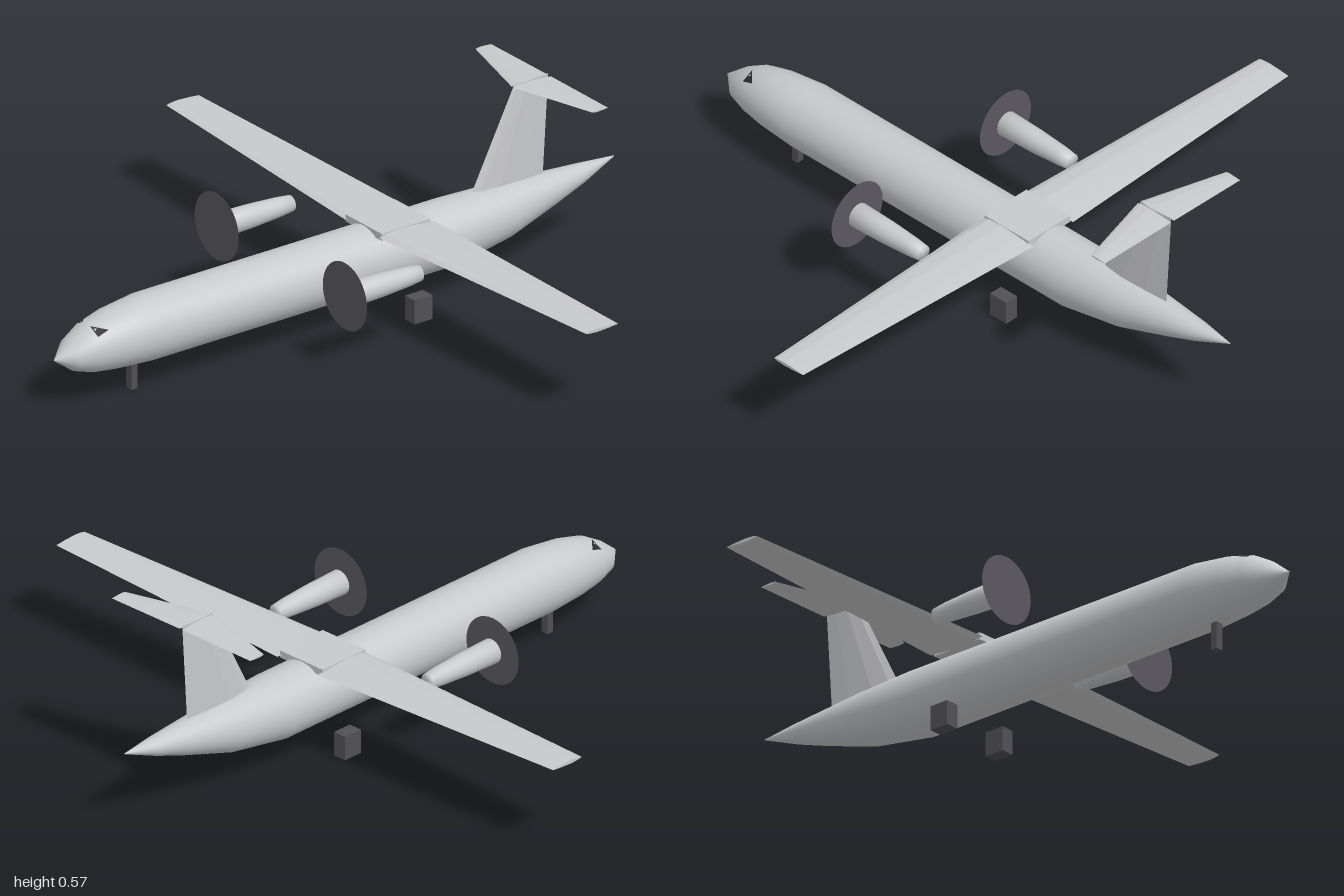
import * as THREE from 'three';

// Skin a list of equal-length rings of [x, y, z] points, with end caps, facing outwards
function loft(rings) {
  const n = rings[0].length, pos = rings.flat(), idx = [];
  for (let r = 0; r < rings.length - 1; r++) {
    for (let i = 0; i < n; i++) {
      const a = r * n + i, b = r * n + (i + 1) % n;
      idx.push([a, b, b + n], [a, b + n, a + n]);
    }
  }
  const last = (rings.length - 1) * n;
  for (let i = 1; i < n - 1; i++) idx.push([0, i + 1, i], [last, last + i, last + i + 1]);
  const v = pos.map((p) => new THREE.Vector3(...p));
  const volume = idx.reduce((s, [a, b, c]) => s + v[a].dot(v[b].clone().cross(v[c])), 0);
  if (volume < 0) idx.forEach((t) => t.reverse());
  const g = new THREE.BufferGeometry();
  g.setAttribute('position', new THREE.Float32BufferAttribute(pos.flat(), 3));
  g.setIndex(idx.flat());
  return g;
}

function faceted(rings) {
  const g = loft(rings).toNonIndexed();
  g.computeVertexNormals();
  return g;
}

// Body stations: z, half width, bottom y, top y
const STATIONS = [
  [1, 0.001, 0.159, 0.161], [0.94, 0.055, 0.115, 0.21], [0.88, 0.075, 0.096, 0.245],
  [0.8, 0.09, 0.087, 0.265], [0.68, 0.1, 0.08, 0.28], [0.14, 0.1, 0.08, 0.28],
  [-0.4, 0.1, 0.08, 0.28], [-0.6, 0.08, 0.112, 0.275], [-0.77, 0.051, 0.165, 0.267],
  [-0.88, 0.032, 0.203, 0.261], [-1, 0.001, 0.251, 0.254],
];

// Body surface x for a given y and z
function bodyX(y, z) {
  const i = STATIONS.findIndex((s) => s[0] <= z), a = STATIONS[i - 1], b = STATIONS[i];
  const t = (a[0] - z) / (a[0] - b[0]);
  const [, w, lo, hi] = a.map((value, k) => THREE.MathUtils.lerp(value, b[k], t));
  const u = (y - (lo + hi) / 2) / ((hi - lo) / 2);
  return w * Math.sqrt(Math.max(0, 1 - u * u));
}

// Aerofoil outline: chord fraction from the leading edge, thickness fraction
const FOIL = [[0, 0], [0.1, 0.3], [0.35, 0.5], [0.7, 0.3], [1, 0], [0.7, -0.3], [0.35, -0.5], [0.1, -0.3]];
const wingSection = (x, y, lead, trail, thick) =>
  FOIL.map(([c, t]) => [x, y + t * thick, lead + (trail - lead) * c]);

export function createModel() {
  const model = new THREE.Group();
  const paint = new THREE.MeshStandardMaterial({ name: 'pale grey paint', color: 0xc8c9cb });
  const disc = new THREE.MeshStandardMaterial({ name: 'propeller grey', color: 0x5a585f, side: THREE.DoubleSide });
  const gear = new THREE.MeshStandardMaterial({ name: 'gear grey', color: 0x505055 });
  const glass = new THREE.MeshStandardMaterial({ name: 'dark glass', color: 0x2c2d32, side: THREE.DoubleSide });

  const add = (name, geometry, material, x = 0, y = 0, z = 0) => {
    const mesh = new THREE.Mesh(geometry, material);
    mesh.name = name;
    mesh.position.set(x, y, z);
    model.add(mesh);
    return mesh;
  };

  // Smooth body with an upswept tail
  const body = loft(STATIONS.map(([z, w, lo, hi]) => Array.from({ length: 40 }, (_, i) => {
    const a = (i / 40) * Math.PI * 2;
    return [Math.cos(a) * w, (lo + hi) / 2 + Math.sin(a) * (hi - lo) / 2, z];
  })));
  body.computeVertexNormals();
  add('fuselage', body, paint);

  // Wing centre box on the roof
  add('wingBox', new THREE.BoxGeometry(0.17, 0.022, 0.175), paint, 0, 0.273, -0.193);

  // Upright fin, tapered towards the top
  const finSection = (y0, y1, lead, trail, thick) =>
    FOIL.map(([c, t]) => [t * thick, y0 + (y1 - y0) * c, lead + (trail - lead) * c]);
  add('fin', faceted([
    finSection(0.272, 0.255, -0.49, -0.745, 0.026),
    finSection(0.575, 0.575, -0.645, -0.765, 0.014),
  ]), paint);

  // Nose gear
  add('noseGear', new THREE.BoxGeometry(0.024, 0.09, 0.022), gear, 0, 0.045, 0.722);

  for (const [side, s] of [['left', 1], ['right', -1]]) {
    add(side + 'Wing', faceted([
      wingSection(s * 0.08, 0.271, -0.1, -0.296, 0.024),
      wingSection(s * 0.988, 0.286, -0.15, -0.266, 0.011),
    ]), paint);

    add(side + 'Tailplane', faceted([
      wingSection(s * 0.006, 0.566, -0.638, -0.77, 0.013),
      wingSection(s * 0.275, 0.565, -0.714, -0.77, 0.006),
    ]), paint);

    // Engine nacelle, tapering aft
    const profile = [[0, -0.075], [0.024, -0.075], [0.029, -0.03], [0.035, 0.07], [0.038, 0.186], [0, 0.186]]
      .map(([r, z]) => new THREE.Vector2(r, z));
    const nacelle = new THREE.LatheGeometry(profile, 24);
    nacelle.rotateX(Math.PI / 2);
    add(side + 'Nacelle', nacelle, paint, s * 0.302, 0.249, 0);

    // Spinning propeller shown as a thin disc
    add(side + 'Propeller', new THREE.CircleGeometry(0.104, 40), disc, s * 0.302, 0.249, 0.19);

    add(side + 'MainGear', new THREE.BoxGeometry(0.044, 0.075, 0.064), gear, s * 0.118, 0.0375, -0.213);

    // Cockpit window, a small triangle just off the body skin
    const corners = [[0.241, 0.885], [0.234, 0.848], [0.221, 0.885]]
      .flatMap(([y, z]) => [s * (bodyX(y, z) + 0.005), y + 0.002, z]);
    const pane = new THREE.BufferGeometry();
    pane.setAttribute('position', new THREE.Float32BufferAttribute(corners, 3));
    pane.setIndex(s > 0 ? [0, 2, 1] : [0, 1, 2]);
    pane.computeVertexNormals();
    add(side + 'CockpitWindow', pane, glass);
  }
  return model;
}
